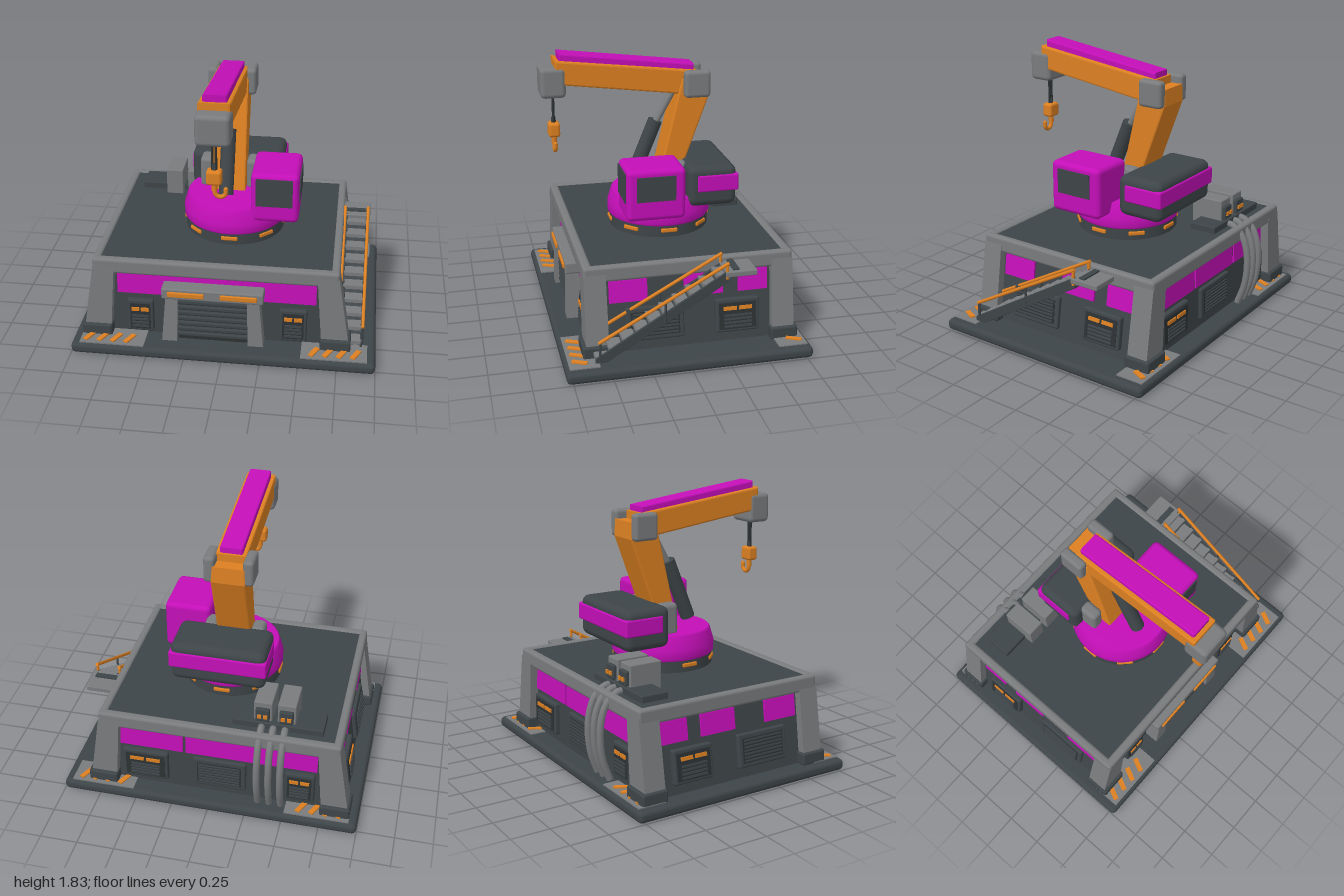
import * as THREE from 'three';
import { RoundedBoxGeometry } from 'three/addons/geometries/RoundedBoxGeometry.js';

const mat = (name, color) => Object.assign(new THREE.MeshStandardMaterial({ color }), { name });
const DARK = mat('dark steel', 0x3e4548);
const BLACK = mat('deep shadow steel', 0x2c3133);
const GREY = mat('grey steel', 0x797b7d);
const PAINT = mat('magenta paint', 0xc40fb8);
const ORANGE = mat('orange paint', 0xdc8022);

function add(parent, name, geo, material, x = 0, y = 0, z = 0) {
  const m = new THREE.Mesh(geo, material);
  m.name = name;
  m.position.set(x, y, z);
  parent.add(m);
  return m;
}

// Box given by its limits; r > 0 rounds the edges
function box(parent, name, material, [x0, x1], [y0, y1], [z0, z1], r = 0) {
  const w = x1 - x0, h = y1 - y0, d = z1 - z0;
  const geo = r ? new RoundedBoxGeometry(w, h, d, 2, Math.min(r, w / 2.1, h / 2.1, d / 2.1)) : new THREE.BoxGeometry(w, h, d);
  return add(parent, name, geo, material, (x0 + x1) / 2, (y0 + y1) / 2, (z0 + z1) / 2);
}

// Round bar between two points
function rod(parent, name, material, a, b, r, sides = 16) {
  const A = new THREE.Vector3(...a), B = new THREE.Vector3(...b), d = B.clone().sub(A);
  const m = add(parent, name, new THREE.CylinderGeometry(r, r, d.length(), sides), material);
  m.position.copy(A).add(B).multiplyScalar(0.5);
  m.quaternion.setFromUnitVectors(new THREE.Vector3(0, 1, 0), d.normalize());
  return m;
}

// Side profile of [z, y] points, extruded across x with bevelled edges
function sideExtrude(parent, name, material, pts, x0, x1, b = 0.012) {
  const s = new THREE.Shape(pts.map(([z, y]) => new THREE.Vector2(-z, y)));
  const geo = new THREE.ExtrudeGeometry(s, { depth: x1 - x0 - 2 * b, bevelSize: b, bevelThickness: b, bevelOffset: -b, bevelSegments: 2 });
  geo.rotateY(Math.PI / 2);
  return add(parent, name, geo, material, x0 + b, 0, 0);
}

// Box whose upper end is shifted sideways and resized
function taper(parent, name, material, w, h, d, topW, topD, x, y, z, shift = 0) {
  const geo = new THREE.BoxGeometry(w, h, d), p = geo.attributes.position;
  for (let i = 0; i < p.count; i++) if (p.getY(i) > 0) p.setXYZ(i, p.getX(i) * topW / w + shift, h / 2, p.getZ(i) * topD / d);
  geo.computeVertexNormals();
  return add(parent, name, geo, material, x, y + h / 2, z);
}

const CX = -0.055, CZ = -0.035, FOOT = 0.075;

// Equipment box with two lamps, and louvred vent, both in wall coordinates
function serviceBox(wall, u0, u1, y0, y1) {
  const w = u1 - u0, h = y1 - y0;
  box(wall, 'serviceBox', DARK, [u0, u1], [y0, y1], [-0.02, 0.035], 0.012);
  box(wall, 'serviceBoxPanel', BLACK, [u0 + 0.02, u1 - 0.02], [y0 + 0.02, y1 - 0.025], [0.03, 0.038]);
  for (const c of [0.32, 0.68]) box(wall, 'lamp', ORANGE, [u0 + w * (c - 0.15), u0 + w * (c + 0.15)], [y0 + h * 0.67, y0 + h * 0.78], [0.03, 0.046]);
  for (let i = 0; i < 4; i++) box(wall, 'slat', DARK, [u0 + w * 0.18, u1 - w * 0.18], [y0 + h * (0.15 + i * 0.11), y0 + h * (0.21 + i * 0.11)], [0.03, 0.046]);
}
function vent(wall, u0, u1, y0, y1) {
  box(wall, 'ventFrame', DARK, [u0, u1], [y0, y1], [-0.02, 0.025], 0.012);
  box(wall, 'ventRecess', BLACK, [u0 + 0.03, u1 - 0.03], [y0 + 0.03, y1 - 0.03], [0.02, 0.028]);
  for (let y = y0 + 0.04; y < y1 - 0.04; y += 0.022) box(wall, 'slat', DARK, [u0 + 0.04, u1 - 0.04], [y, y + 0.01], [0.022, 0.036]);
}
const panel = (wall, u0, u1, y0, y1) => box(wall, 'paintPanel', PAINT, [u0, u1], [y0, y1], [-0.02, 0.012]);

function buildBunker(g) {
  box(g, 'baseSlab', DARK, [-1, 1], [0, FOOT], [-0.79, 0.79], 0.03);
  taper(g, 'walls', DARK, 1.66, 0.54, 1.24, 1.5, 1.22, CX, FOOT, CZ);
  box(g, 'deck', DARK, [-0.83, 0.71], [0.58, 0.64], [-0.68, 0.61]);
  // Roof rim
  for (const [a, b] of [[-0.71, -0.65], [0.58, 0.64]]) box(g, 'roofRim', GREY, [-0.86, 0.745], [0.545, 0.65], [a, b], 0.02);
  for (const [a, b] of [[-0.86, -0.805], [0.69, 0.745]]) box(g, 'roofRim', GREY, [a, b], [0.545, 0.65], [-0.71, 0.64], 0.02);
  // Corner legs, feet and hazard pads
  for (const sx of [-1, 1]) for (const sz of [-1, 1]) {
    taper(g, 'cornerLeg', GREY, 0.18, 0.5, 0.145, 0.14, 0.14, CX + sx * 0.79, 0.1, CZ + sz * 0.605, -sx * 0.06);
    box(g, 'legFoot', DARK, [CX + sx * 0.79 - 0.1, CX + sx * 0.79 + 0.1], [0.07, 0.155], [CZ + sz * 0.61 - 0.09, CZ + sz * 0.61 + 0.09], 0.015);
    box(g, 'groundPad', GREY, [sx * 0.73 - 0.215, sx * 0.73 + 0.215], [0.07, 0.082], [sz * 0.67 - 0.095, sz * 0.67 + 0.095]);
    for (let i = 0; i < 4; i++) {
      const s = box(g, 'hazardStripe', ORANGE, [-0.017, 0.017], [0, 0.008], [-0.05, 0.05]);
      s.position.set((sx < 0 ? -0.89 : 0.6) + i * 0.09, 0.086, sz * 0.695);
      s.rotation.y = -0.45;
    }
  }
  // Wall fittings: local x runs along each wall, local z points outward
  const wall = (name, x, z, turn, lean) => {
    const w = new THREE.Group();
    w.name = name;
    w.rotation.order = 'YXZ';
    w.rotation.set(-lean, turn, 0);
    w.position.set(x, 0, z);
    g.add(w);
    return w;
  };
  const front = wall('frontWall', 0, CZ + 0.62, 0, 0.02);
  panel(front, -0.71, 0.6, 0.375, 0.545);
  serviceBox(front, -0.645, -0.47, 0.1, 0.335);
  serviceBox(front, 0.365, 0.545, 0.1, 0.335);
  const back = wall('backWall', 0, CZ - 0.62, Math.PI, 0.02);
  for (const [a, b] of [[-0.62, -0.19], [-0.17, 0.31], [0.33, 0.71]]) panel(back, a, b, 0.375, 0.54);
  serviceBox(back, -0.6, -0.29, 0.13, 0.35);
  vent(back, -0.12, 0.24, 0.13, 0.35);
  serviceBox(back, 0.5, 0.7, 0.13, 0.35);
  for (const s of [-1, 1]) {
    const side = wall(s > 0 ? 'leftWall' : 'rightWall', CX + s * 0.842, 0, s * Math.PI / 2, 0.147);
    const span = (f, z0, z1, ...r) => f(side, ...(s > 0 ? [-z1, -z0] : [z0, z1]), ...r);
    for (const [a, b] of [[0.235, 0.48], [-0.255, 0], [-0.55, -0.355]]) span(panel, a, b, 0.4, 0.54);
    span(vent, 0.005, 0.38, 0.14, 0.36);
    span(serviceBox, -0.485, -0.2, 0.14, 0.36);
  }
}

function buildGate(g) {
  for (const s of [-1, 1]) taper(g, 'gatePost', GREY, 0.1, 0.34, 0.13, 0.08, 0.11, -0.068 + s * 0.285, 0.085, 0.62, -s * 0.02);
  box(g, 'gateHeader', GREY, [-0.4, 0.265], [0.405, 0.485], [0.55, 0.685], 0.012);
  box(g, 'shutter', BLACK, [-0.31, 0.17], [0.08, 0.41], [0.57, 0.64]);
  for (let i = 0; i < 7; i++) box(g, 'shutterSlat', DARK, [-0.305, 0.165], [0.112 + i * 0.041, 0.14 + i * 0.041], [0.62, 0.66], 0.008);
  for (const x of [-0.36, -0.015]) box(g, 'gateLamp', ORANGE, [x, x + 0.24], [0.43, 0.465], [0.67, 0.698], 0.006);
}

function buildStairs(g) {
  const n = 10, z = i => 0.565 - i * 0.085, y = i => 0.115 + i * 0.052;
  for (let i = 0; i < n; i++) box(g, 'stairTread', GREY, [0.765, 0.9], [y(i) - 0.014, y(i) + 0.012], [z(i) - 0.05, z(i) + 0.035]);
  for (const x of [0.755, 0.895]) sideExtrude(g, 'stairStringer', DARK, [[0.6, 0.085], [0.6, 0.115], [-0.24, 0.625], [-0.24, 0.55], [0.53, 0.085]], x, x + 0.016, 0.003);
  sideExtrude(g, 'stairBacking', DARK, [[0.55, 0.08], [0.55, 0.1], [-0.24, 0.58], [-0.24, 0.55]], 0.765, 0.9, 0.003);
  box(g, 'landing', GREY, [0.7, 0.925], [0.585, 0.62], [-0.42, -0.22], 0.006);
  box(g, 'landingGrip', DARK, [0.74, 0.9], [0.61, 0.63], [-0.31, -0.27]);
  for (const x of [0.75, 0.908]) {
    rod(g, 'handrail', ORANGE, [x, 0.22, 0.58], [x, 0.675, -0.24], 0.011, 10);
    rod(g, 'railPost', DARK, [x, 0.09, 0.57], [x, 0.22, 0.57], 0.008, 8);
    rod(g, 'railPost', DARK, [x, 0.32, 0.16], [x, 0.45, 0.16], 0.008, 8);
    rod(g, 'railPost', ORANGE, [x, 0.57, -0.23], [x, 0.675, -0.23], 0.01, 8);
  }
}

function buildRoofUnits(g) {
  box(g, 'roofPlinth', DARK, [-0.73, -0.135], [0.63, 0.685], [-0.61, -0.42], 0.008);
  for (const x of [-0.485, -0.33]) {
    box(g, 'powerUnit', GREY, [x - 0.06, x + 0.06], [0.635, 0.825], [-0.58, -0.355], 0.008);
    box(g, 'powerSocket', DARK, [x - 0.045, x + 0.045], [0.69, 0.785], [-0.605, -0.57], 0.01);
    for (const d of [-0.02, 0.02]) box(g, 'socketLamp', ORANGE, [x + d - 0.013, x + d + 0.013], [0.72, 0.745], [-0.615, -0.6]);
  }
  const path = [[0.64, -0.57], [0.655, -0.62], [0.6, -0.705], [0.5, -0.75], [0.36, -0.763], [0.22, -0.745], [0.09, -0.7]];
  for (const x of [-0.482, -0.405, -0.328]) {
    const curve = new THREE.CatmullRomCurve3(path.map(([y, z]) => new THREE.Vector3(x, y, z)));
    add(g, 'powerCable', new THREE.TubeGeometry(curve, 32, 0.023, 10), GREY);
  }
}

function buildTurret(g) {
  const lathe = pts => new THREE.LatheGeometry(pts.map(p => new THREE.Vector2(...p)), 48);
  add(g, 'slewRing', new THREE.CylinderGeometry(0.335, 0.335, 0.085, 48), DARK, 0, 0.677, 0);
  add(g, 'turntable', lathe([[0, 0.71], [0.33, 0.71], [0.345, 0.73], [0.346, 0.79], [0.32, 0.878], [0.308, 0.89], [0, 0.89]]), PAINT);
  for (let i = 0; i < 8; i++) {
    const a = i * Math.PI / 4;
    const l = add(g, 'ringLamp', new RoundedBoxGeometry(0.11, 0.028, 0.03, 2, 0.008), ORANGE, Math.sin(a) * 0.328, 0.686, Math.cos(a) * 0.328);
    l.rotation.y = a;
  }
  // Operator cab with front and side windows
  box(g, 'cab', PAINT, [0.135, 0.45], [0.805, 1.15], [-0.085, 0.302], 0.035);
  box(g, 'cabFrontWindow', DARK, [0.17, 0.41], [0.925, 1.12], [0.3, 0.309]);
  box(g, 'cabSideWindow', DARK, [0.448, 0.457], [0.94, 1.105], [-0.015, 0.24]);
  // Counterweight with painted band
  box(g, 'counterweight', DARK, [-0.315, 0.315], [0.82, 1.095], [-0.465, -0.135], 0.05);
  box(g, 'counterweightBand', PAINT, [-0.322, 0.322], [0.925, 1.04], [-0.474, -0.195], 0.012);
}

function buildArm(g) {
  for (const [a, b] of [[-0.245, -0.155], [0.07, 0.16]]) box(g, 'armBracket', GREY, [a, b], [0.87, 1.09], [-0.165, -0.03], 0.03);
  sideExtrude(g, 'lowerArm', ORANGE, [[0.03, 0.88], [-0.13, 1.56], [-0.15, 1.63], [-0.33, 1.63], [-0.335, 1.52], [-0.1, 0.88]], -0.155, 0.07);
  for (const [a, b] of [[-0.205, -0.135], [0.045, 0.118]]) box(g, 'elbowCover', GREY, [a, b], [1.51, 1.69], [-0.332, -0.157], 0.025);
  sideExtrude(g, 'boom', ORANGE, [[0.685, 1.79], [0.685, 1.635], [-0.25, 1.515], [-0.25, 1.682]], -0.143, 0.058);
  sideExtrude(g, 'boomCap', PAINT, [[0.657, 1.832], [0.657, 1.775], [-0.236, 1.67], [-0.236, 1.722]], -0.116, 0.032, 0.01);
  box(g, 'boomHead', GREY, [-0.15, 0.066], [1.545, 1.745], [0.615, 0.78], 0.03);
  // Hydraulic ram
  rod(g, 'ramBody', DARK, [-0.042, 0.93, 0.175], [-0.042, 1.335, 0.01], 0.049, 12);
  rod(g, 'ramRod', GREY, [-0.042, 1.3, 0.02], [-0.042, 1.56, -0.125], 0.023);
  // Hoist and hook
  for (const x of [-0.053, -0.031]) rod(g, 'hoistCable', BLACK, [x, 1.35, 0.692], [x, 1.57, 0.692], 0.008, 8);
  rod(g, 'hoistCollar', DARK, [-0.042, 1.355, 0.692], [-0.042, 1.4, 0.692], 0.015, 10);
  box(g, 'hookBlock', ORANGE, [-0.09, 0.006], [1.27, 1.365], [0.654, 0.73], 0.018);
  const hook = [[-0.042, 1.28], [-0.042, 1.225], [-0.032, 1.195], [-0.003, 1.183], [0.024, 1.2], [0.028, 1.235]];
  const curve = new THREE.CatmullRomCurve3(hook.map(([x, y]) => new THREE.Vector3(x, y, 0.692)));
  add(g, 'hook', new THREE.TubeGeometry(curve, 28, 0.014, 10), ORANGE);
  add(g, 'hookTip', new THREE.SphereGeometry(0.014, 10, 8), ORANGE, 0.028, 1.235, 0.692);
  rod(g, 'hookShank', ORANGE, [-0.042, 1.225, 0.692], [-0.042, 1.28, 0.692], 0.018, 12);
}

export function createModel() {
  const model = new THREE.Group();
  model.name = 'craneBunker';
  const parts = { bunker: buildBunker, gate: buildGate, stairs: buildStairs, roofUnits: buildRoofUnits, turret: buildTurret, arm: buildArm };
  for (const [name, build] of Object.entries(parts)) {
    const g = new THREE.Group();
    g.name = name;
    build(g);
    model.add(g);
  }
  return model;
}
